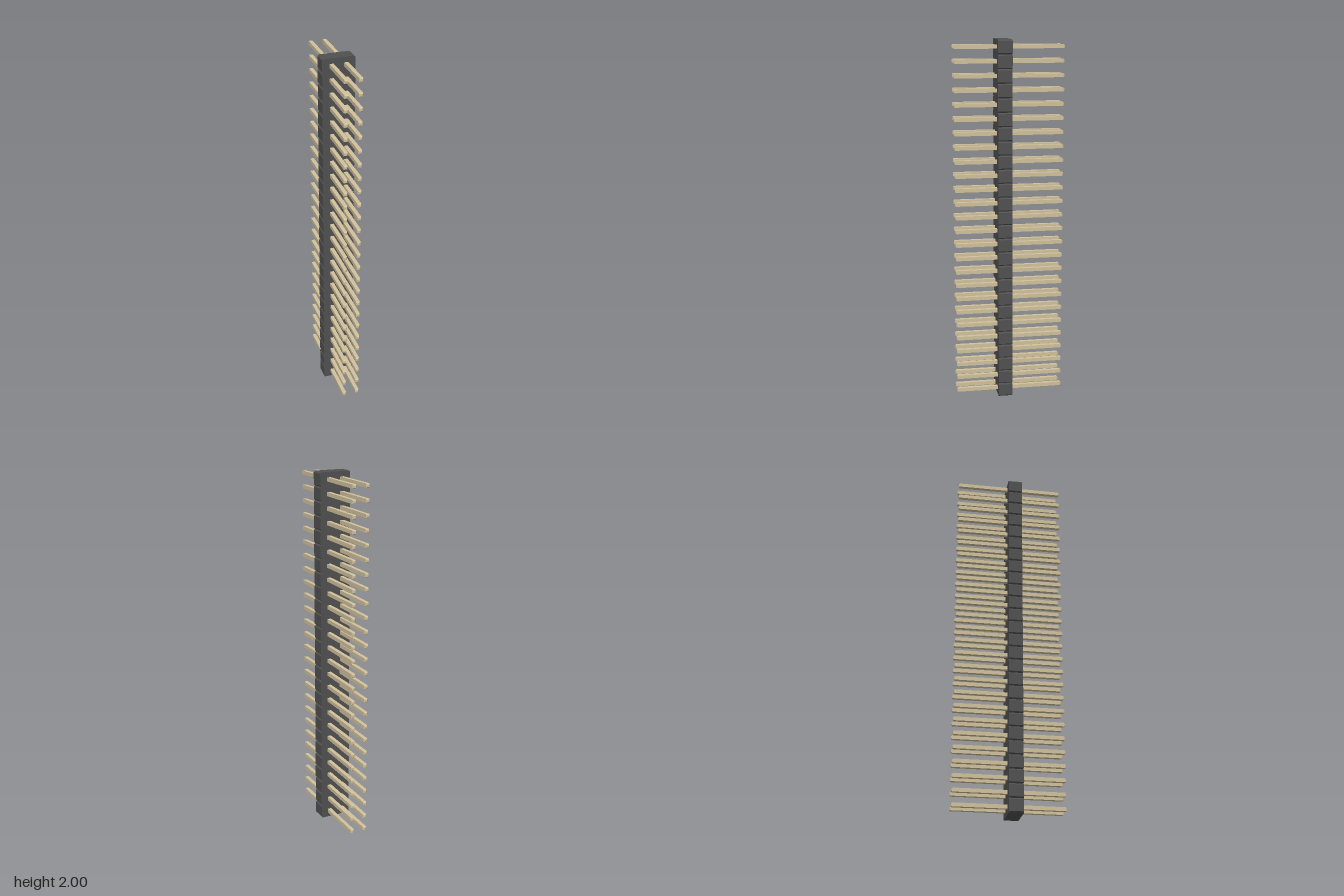
import * as THREE from 'three';

const ROWS = 26;
const PITCH = 2 / ROWS;

// Strip outline: one chamfered cell per row, leaving V notches down both sides
function bodyGeometry() {
  const halfWidth = 0.088, chamfer = 0.007, back = -0.01, depth = 0.078;
  const right = [], left = [];
  for (let i = 0; i < ROWS; i++) {
    const y0 = i * PITCH, y1 = y0 + PITCH;
    if (i === 0) right.push([halfWidth - chamfer, y0]);
    right.push([halfWidth, y0 + chamfer], [halfWidth, y1 - chamfer], [halfWidth - chamfer, y1]);
  }
  for (const [x, y] of right) left.unshift([-x, y]);
  const outline = [...right, ...left].map(([x, y]) => new THREE.Vector2(x, y));
  const geometry = new THREE.ExtrudeGeometry(new THREE.Shape(outline), { depth, bevelEnabled: false });
  return geometry.translate(0, 0, back);
}

// Square pin along z with tapered tips
function pinGeometry() {
  const r = 0.0105 * Math.SQRT2, tip = 0.0065 * Math.SQRT2, end = 0.3, shoulder = 0.294;
  const profile = [[0, -end], [tip, -end], [r, -shoulder], [r, shoulder], [tip, end], [0, end]]
    .map(([x, y]) => new THREE.Vector2(x, y));
  return new THREE.LatheGeometry(profile, 4, Math.PI / 4).rotateX(Math.PI / 2);
}

export function createModel() {
  const model = new THREE.Group();
  model.name = 'pinHeader';
  const plastic = new THREE.MeshStandardMaterial({ color: 0x505050, flatShading: true });
  const metal = new THREE.MeshStandardMaterial({ color: 0xd0c09c, flatShading: true });

  const body = new THREE.Mesh(bodyGeometry(), plastic);
  body.name = 'body';
  model.add(body);

  // Two columns of pins passing through the strip
  const pins = new THREE.Group();
  pins.name = 'pins';
  const geometry = pinGeometry();
  for (let row = 0; row < ROWS; row++) {
    for (const side of [-1, 1]) {
      const pin = new THREE.Mesh(geometry, metal);
      pin.name = side > 0 ? 'leftPin' : 'rightPin';
      pin.position.set(side * PITCH / 2, (row + 0.5) * PITCH, 0);
      pins.add(pin);
    }
  }
  model.add(pins);
  return model;
}
